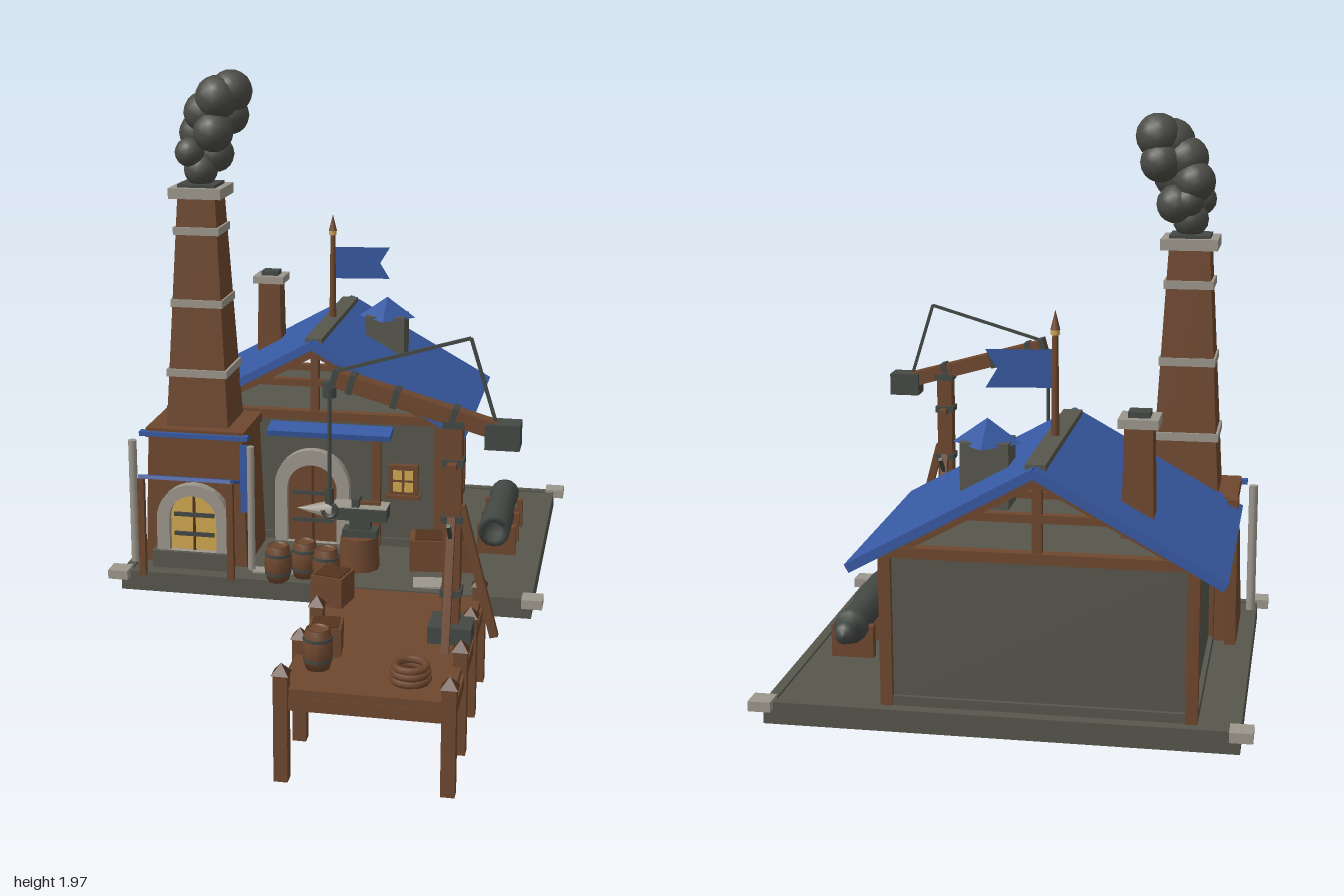
import * as THREE from 'three';

const mat = (name, color) => {
  const m = new THREE.MeshStandardMaterial({ color });
  m.name = name;
  return m;
};
const wood = mat('wood', 0x6e472e), stone = mat('stone', 0x56564d), pale = mat('pale stone', 0x9c978c);
const blue = mat('blue', 0x3759a2), gold = mat('gold', 0xd0a750), iron = mat('iron', 0x434844);
const smokeGrey = mat('smoke', 0x4b4c46), darkWood = mat('dark wood', 0x54331f);
const cloth = mat('flag cloth', 0x3759a2);
cloth.side = THREE.DoubleSide;

export function createModel() {
  const model = new THREE.Group();
  const add = (name, geo, m, x, y, z) => {
    const mesh = new THREE.Mesh(geo, m);
    mesh.name = name;
    mesh.position.set(x, y, z);
    model.add(mesh);
    return mesh;
  };
  // box given by its x, y and z ranges
  const box = (name, m, x0, x1, y0, y1, z0, z1) =>
    add(name, new THREE.BoxGeometry(x1 - x0, y1 - y0, z1 - z0), m, (x0 + x1) / 2, (y0 + y1) / 2, (z0 + z1) / 2);
  const cyl = (name, m, rt, rb, y0, y1, x, z, n = 12) =>
    add(name, new THREE.CylinderGeometry(rt, rb, y1 - y0, n), m, x, (y0 + y1) / 2, z);
  // square tapered block with half widths at top and bottom
  const taper = (name, m, ht, hb, y0, y1, x, z, turn = Math.PI / 4) => {
    const g = new THREE.CylinderGeometry(ht * Math.SQRT2, hb * Math.SQRT2, y1 - y0, 4).rotateY(turn).toNonIndexed();
    g.computeVertexNormals();
    return add(name, g, m, x, (y0 + y1) / 2, z);
  };
  // square bar between two points
  const beam = (name, m, a, b, w, d = w) => {
    const p = new THREE.Vector3(...a), q = new THREE.Vector3(...b);
    const mesh = add(name, new THREE.BoxGeometry(w, d, p.distanceTo(q)), m, 0, 0, 0);
    mesh.position.copy(p).add(q).multiplyScalar(0.5);
    mesh.lookAt(q);
    return mesh;
  };
  const archShape = (r, h, Type = THREE.Shape) => {
    const s = new Type();
    s.moveTo(-r, 0);
    s.lineTo(r, 0);
    s.lineTo(r, h - r);
    s.absarc(0, h - r, r, 0, Math.PI, false);
    s.lineTo(-r, 0);
    return s;
  };
  // arched doorway: stone surround and leaf
  const arch = (name, rOut, hOut, rIn, hIn, leaf, x, y, z) => {
    const ring = archShape(rOut, hOut);
    ring.holes.push(archShape(rIn, hIn, THREE.Path));
    const opt = { bevelEnabled: false, curveSegments: 8 };
    add(name + 'Surround', new THREE.ExtrudeGeometry(ring, { ...opt, depth: 0.035 }), pale, x, y, z);
    add(name + 'Leaf', new THREE.ExtrudeGeometry(archShape(rIn, hIn), { ...opt, depth: 0.012 }), leaf, x, y, z);
    box(name + 'Seam', darkWood, x - 0.004, x + 0.004, y, y + hIn, z + 0.01, z + 0.018);
    for (const t of [0.25, 0.6]) box(name + 'Strap', iron, x - rIn * 0.85, x + rIn * 0.85, y + hIn * t, y + hIn * t + 0.014, z + 0.01, z + 0.019);
  };

  // stone platform with rim and corner stones
  box('platform', stone, -0.7, 0.7, 0.225, 0.272, -0.97, 0.18);
  box('platformFloor', stone, -0.67, 0.67, 0.27, 0.286, -0.94, 0.15);
  for (const s of [-1, 1]) {
    box('sideRim', stone, s * 0.685 - 0.015, s * 0.685 + 0.015, 0.27, 0.293, -0.97, 0.18);
    box('endRim', stone, -0.7, 0.7, 0.27, 0.293, -0.395 + s * 0.56 - 0.015, -0.395 + s * 0.56 + 0.015);
    for (const z of [-0.965, 0.18]) box('cornerStone', pale, s * 0.703 - 0.034, s * 0.703 + 0.034, 0.272, 0.303, z - 0.034, z + 0.034);
  }
  for (const [x, z, w, d, r] of [[0.37, 0.085, 0.15, 0.09, 0.15], [-0.15, 0.07, 0.22, 0.05, 0.1]])
    box('pavingSlab', pale, x - w / 2, x + w / 2, 0.284, 0.292, z - d / 2, z + d / 2).rotation.y = r;

  // house walls, plinth and timber frame
  const cx = -0.11, zf = -0.255, zb = -0.905;
  box('walls', stone, cx - 0.45, cx + 0.45, 0.286, 0.75, zb, zf);
  box('plinth', stone, cx - 0.465, cx + 0.465, 0.286, 0.315, zb - 0.012, zf + 0.012);
  for (const z of [zf, zb]) {
    for (const s of [-1, 1]) box('cornerPost', wood, cx + s * 0.447 - 0.018, cx + s * 0.447 + 0.018, 0.286, 0.77, z - 0.018, z + 0.018);
    box('wallPlate', wood, cx - 0.465, cx + 0.465, 0.74, 0.772, z - 0.018, z + 0.018);
    box('tieBeam', wood, cx - 0.27, cx + 0.27, 0.862, 0.886, z - 0.014, z + 0.014);
    box('kingPost', wood, cx - 0.014, cx + 0.014, 0.76, 0.98, z - 0.014, z + 0.014);
    for (const s of [-1, 1]) beam('rafter', wood, [cx, 0.985, z], [cx + s * 0.46, 0.735, z], 0.026);
  }
  for (const s of [-1, 1]) {
    box('sidePlate', wood, cx + s * 0.447 - 0.016, cx + s * 0.447 + 0.016, 0.725, 0.76, zb, zf);
    // roof slope
    const slope = box('roof', blue, -0.312, 0.312, -0.014, 0.014, -0.4, 0.4);
    slope.position.set(cx + s * 0.268, 0.873, -0.585);
    slope.rotation.z = -s * 0.508;
  }
  box('ridgeCap', stone, cx - 0.03, cx + 0.03, 1.01, 1.04, -0.945, -0.225);
  box('frontPost', wood, 0.1, 0.13, 0.286, 0.71, -0.25, -0.225);
  const awn = box('doorAwning', blue, -0.27, 0.17, 0.7, 0.72, -0.26, -0.18);
  awn.rotation.x = 0.2;
  arch('houseDoor', 0.135, 0.345, 0.09, 0.29, wood, -0.115, 0.29, -0.25);

  // windows: frame, panes and bars, facing +z before turning
  const windowAt = (x, y, z, turn) => {
    const g = new THREE.Group();
    g.name = 'window';
    const part = (m, w, h, d, px, py, pz) => {
      const p = new THREE.Mesh(new THREE.BoxGeometry(w, h, d), m);
      p.name = 'windowPart';
      p.position.set(px, py, pz);
      g.add(p);
    };
    part(wood, 0.105, 0.115, 0.02, 0, 0, 0);
    for (const sx of [-1, 1]) for (const sy of [-1, 1]) part(gold, 0.031, 0.035, 0.006, sx * 0.02, sy * 0.022, 0.009);
    part(wood, 0.12, 0.014, 0.035, 0, -0.058, 0.005);
    g.position.set(x, y, z);
    g.rotation.y = turn;
    model.add(g);
  };
  windowAt(0.21, 0.535, -0.245, 0);
  for (const z of [-0.435, -0.72]) windowAt(cx + 0.455, 0.535, z, Math.PI / 2);

  // roof chimney, cupola, flagpole
  taper('roofChimney', wood, 0.041, 0.047, 0.8, 1.13, -0.385, -0.775);
  box('roofChimneyCap', pale, -0.443, -0.327, 1.125, 1.152, -0.833, -0.717);
  box('roofChimneyFlue', iron, -0.417, -0.353, 1.14, 1.168, -0.807, -0.743);
  box('cupola', stone, 0.007, 0.153, 0.84, 1.04, -0.725, -0.605);
  taper('cupolaRoof', blue, 0, 0.074, 1.03, 1.105, 0.08, -0.667, 0);
  cyl('flagpole', wood, 0.009, 0.013, 1.02, 1.36, cx, -0.585, 8);
  cyl('poleCollar', gold, 0.014, 0.014, 1.345, 1.36, cx, -0.585, 8);
  cyl('poleTip', wood, 0, 0.015, 1.36, 1.42, cx, -0.585, 8);
  const f = new THREE.Shape([[0, 0], [0.2, 0], [0.165, 0.058], [0.2, 0.116], [0, 0.116]].map(p => new THREE.Vector2(...p)));
  add('flag', new THREE.ShapeGeometry(f), cloth, cx + 0.008, 1.184, -0.585).rotation.y = 0.13;

  // furnace with tapered stack
  const fx = -0.468, fz = -0.095;
  taper('furnace', wood, 0.165, 0.18, 0.286, 0.745, fx, -0.085).scale.z = 0.78;
  box('furnaceTop', wood, -0.64, -0.295, 0.735, 0.768, -0.22, 0.055);
  box('furnaceTrim', blue, -0.66, -0.28, 0.742, 0.758, 0.04, 0.068);
  taper('stack', wood, 0.064, 0.108, 0.765, 1.57, fx, fz);
  for (const [y, h] of [[0.955, 0.105], [1.195, 0.09], [1.44, 0.079]]) box('stackBand', pale, fx - h, fx + h, y - 0.013, y + 0.013, fz - h, fz + h);
  box('stackCap', pale, fx - 0.09, fx + 0.09, 1.55, 1.585, fz - 0.09, fz + 0.09);
  box('stackFlue', iron, fx - 0.065, fx + 0.065, 1.58, 1.595, fz - 0.065, fz + 0.065);
  box('furnacePost', wood, -0.645, -0.61, 0.286, 0.77, -0.26, -0.22);
  arch('furnaceDoor', 0.128, 0.24, 0.083, 0.2, gold, fx, 0.345, 0.06);
  box('hearthStep', stone, -0.61, -0.33, 0.286, 0.345, 0.04, 0.11);
  for (const x of [-0.62, -0.312]) box('awningPost', wood, x - 0.011, x + 0.011, 0.286, 0.63, 0.172, 0.194);
  beam('furnaceAwning', blue, [fx, 0.597, 0.065], [fx, 0.637, 0.19], 0.32, 0.012);
  cyl('paleColumn', pale, 0.015, 0.015, 0.29, 0.73, -0.68, 0.08, 8);
  cyl('paleColumn', pale, 0.013, 0.013, 0.29, 0.73, -0.265, 0.08, 8);
  box('banner', blue, -0.305, -0.28, 0.49, 0.73, 0.064, 0.07);

  // smoke puffs rising from the stack
  const puffs = [[-0.465, 1.64, -0.09, 0.058], [-0.495, 1.7, -0.06, 0.05], [-0.42, 1.69, -0.12, 0.062], [-0.48, 1.76, -0.12, 0.065],
    [-0.41, 1.77, -0.05, 0.068], [-0.45, 1.83, -0.09, 0.07], [-0.37, 1.82, -0.12, 0.065], [-0.4, 1.88, -0.07, 0.075],
    [-0.36, 1.9, -0.1, 0.072], [-0.46, 1.7, -0.13, 0.05]];
  for (const [x, y, z, r] of puffs) add('smokePuff', new THREE.IcosahedronGeometry(r, 2), smokeGrey, x, y, z);

  // barrels
  const barrel = (x, y, z) => {
    const pts = [[0, 0], [0.037, 0], [0.046, 0.045], [0.046, 0.08], [0.037, 0.125], [0.031, 0.125], [0.031, 0.117], [0, 0.117]];
    add('barrel', new THREE.LatheGeometry(pts.map(p => new THREE.Vector2(...p)), 10), wood, x, y, z);
    for (const h of [0.03, 0.095]) cyl('barrelHoop', iron, 0.045, 0.045, y + h - 0.005, y + h + 0.005, x, z, 10);
  };
  barrel(-0.155, 0.288, 0.155);
  barrel(-0.075, 0.288, 0.1);
  barrel(0.01, 0.288, 0.155);
  barrel(0.115, 0.288, 0.815);

  // anvil on a stump, with hammer
  cyl('stump', wood, 0.065, 0.072, 0.286, 0.4, 0.09, -0.03, 10);
  box('anvilFoot', iron, 0.035, 0.155, 0.4, 0.425, -0.06, 0);
  box('anvilWaist', iron, 0.06, 0.13, 0.42, 0.47, -0.052, -0.008);
  box('anvilTop', iron, 0, 0.19, 0.465, 0.508, -0.07, 0.012);
  box('anvilFace', pale, 0, 0.19, 0.508, 0.512, -0.07, 0.012);
  add('anvilHorn', new THREE.ConeGeometry(0.038, 0.13, 8).rotateZ(Math.PI / 2), pale, -0.065, 0.485, -0.03);
  box('hammerHandle', wood, 0.07, 0.165, 0.516, 0.528, -0.024, -0.012);
  box('hammerHead', iron, 0.07, 0.095, 0.51, 0.54, -0.045, 0.01);

  // crates
  const crate = (x, y, z, w, h, d, turn) => {
    box('crate', wood, x - w / 2, x + w / 2, y, y + h, z - d / 2, z + d / 2).rotation.y = turn;
    box('crateLid', darkWood, x - w * 0.42, x + w * 0.42, y + h, y + h + 0.004, z - d * 0.42, z + d * 0.42).rotation.y = turn;
  };
  crate(0.37, 0.286, -0.085, 0.22, 0.11, 0.12, 0.12);
  crate(0.06, 0.288, 0.3, 0.11, 0.1, 0.11, -0.22);
  crate(0.115, 0.288, 0.69, 0.1, 0.09, 0.1, 0.1);

  // cannon lying on cradles, muzzle toward the front
  const gun = [[0, -0.26], [0.028, -0.25], [0.036, -0.225], [0.025, -0.19], [0.052, -0.18], [0.054, -0.15], [0.047, -0.14],
    [0.049, 0.04], [0.055, 0.05], [0.055, 0.25], [0.035, 0.25], [0.033, 0.18], [0, 0.18]];
  add('cannon', new THREE.LatheGeometry(gun.map(p => new THREE.Vector2(...p)), 14).rotateX(Math.PI / 2), iron, 0.54, 0.395, -0.415);
  for (const z of [-0.545, -0.39, -0.25]) {
    box('cradle', wood, 0.475, 0.61, 0.286, 0.36, z - 0.015, z + 0.015);
    for (const x of [0.485, 0.6]) box('cradleCheek', wood, x - 0.01, x + 0.01, 0.35, 0.39, z - 0.015, z + 0.015);
  }

  // dock
  box('dockDeck', wood, 0.03, 0.535, 0.262, 0.288, 0.17, 0.98);
  for (const x of [0.04, 0.53]) {
    box('dockSideBeam', wood, x - 0.014, x + 0.014, 0.222, 0.265, 0.18, 0.98);
    for (const z of [0.19, 0.455, 0.715, 0.978]) {
      box('dockPost', wood, x - 0.021, x + 0.021, 0, 0.34, z - 0.021, z + 0.021);
      taper('dockPostCap', darkWood, 0, 0.026, 0.335, 0.368, x, z);
    }
  }
  for (const z of [0.19, 0.455, 0.715, 0.97]) box('dockCrossBeam', wood, 0.04, 0.53, 0.222, 0.262, z - 0.012, z + 0.012);
  for (const [y, r] of [[0.3, 0.052], [0.32, 0.05], [0.338, 0.046]])
    add('ropeCoil', new THREE.TorusGeometry(r, 0.012, 6, 16).rotateX(Math.PI / 2), wood, 0.4, y, 0.86);

  // crane mast, braces and boom
  const mx = 0.475, mz = 0.515;
  box('craneBase', iron, 0.41, 0.545, 0.288, 0.342, 0.45, 0.582);
  box('mast', wood, mx - 0.027, mx + 0.027, 0.34, 1.02, mz - 0.027, mz + 0.027);
  for (const y of [0.44, 0.68, 0.86, 0.98]) box('mastBand', iron, mx - 0.033, mx + 0.033, y - 0.011, y + 0.011, mz - 0.033, mz + 0.033);
  box('mastCrossbar', wood, mx - 0.014, mx + 0.014, 0.845, 0.865, mz - 0.065, mz + 0.065);
  for (const s of [-1, 1]) {
    beam('sideBrace', wood, [mx, 0.29, mz + s * 0.14], [mx, 0.69, mz + s * 0.03], 0.024);
    beam('braceSpike', iron, [mx, 0.62, mz + s * 0.04], [mx, 0.69, mz + s * 0.11], 0.012);
  }
  beam('backBrace', wood, [0.61, 0.3, mz], [0.5, 0.72, mz], 0.026);
  const tip = [0.1, 1.105, mz], tail = [0.62, 0.96, mz];
  beam('boom', wood, tip, tail, 0.05, 0.05);
  const at = t => tip.map((v, i) => v + (tail[i] - v) * t);
  for (const t of [0, 0.1, 0.36, 0.7]) beam('boomBand', iron, at(t), at(t + 0.035), 0.06, 0.06);
  box('counterweight', iron, 0.57, 0.675, 0.912, 0.99, 0.474, 0.556);
  beam('stay', iron, [0.12, 1.125, mz], [0.52, 1.243, mz], 0.01);
  beam('stay', iron, [0.52, 1.243, mz], [0.6, 0.985, mz], 0.01);
  cyl('pulley', iron, 0.022, 0.022, 1.04, 1.09, 0.092, mz, 8);
  cyl('hoistChain', iron, 0.007, 0.007, 0.7, 1.06, 0.092, mz, 6);
  cyl('hookBlock', iron, 0.014, 0.014, 0.7, 0.75, 0.092, mz, 8);
  add('hook', new THREE.TorusGeometry(0.022, 0.007, 6, 12, Math.PI * 1.5).rotateZ(Math.PI), iron, 0.092, 0.677, mz);
  return model;
}
